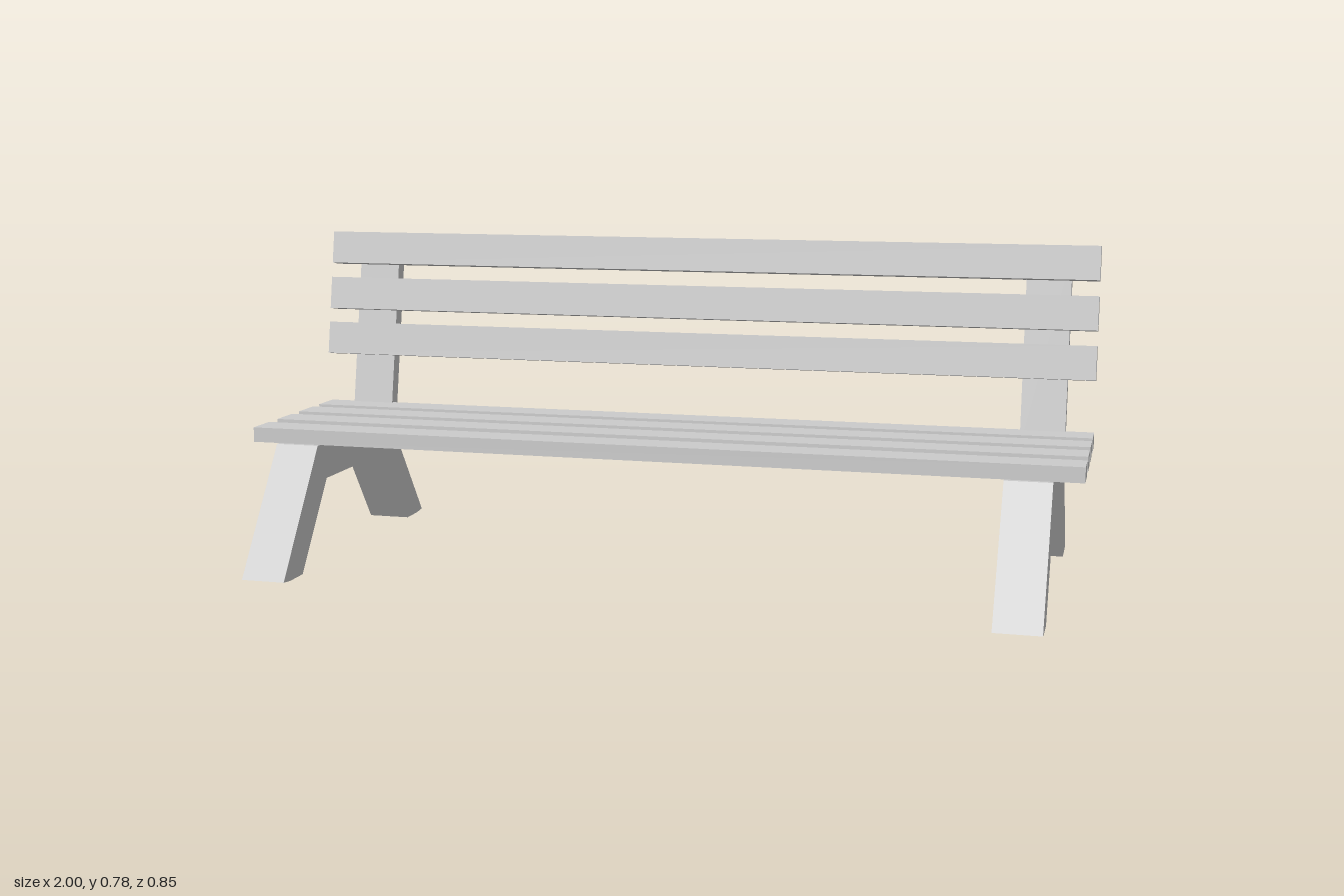
import * as THREE from 'three';

const material = new THREE.MeshStandardMaterial({ color: 0xcccccc, flatShading: true });

// Side outline of one end frame as (z, y): front leg, seat rail, back post, rear leg
const OUTLINE = [
  [0.39, 0], [0.425, 0.004], [0.221, 0.295], [-0.222, 0.295], [-0.228, 0.283],
  [-0.317, 0.763], [-0.351, 0.757], [-0.256, 0.243], [-0.425, 0.004], [-0.39, 0],
  [-0.324, 0], [-0.176, 0.207], [0.176, 0.207], [0.324, 0],
];
const FRAME_X = 0.878;
const FRAME_WIDTH = 0.108;
const BACK_TILT = -0.174;

function slat(name, height, depth, y, z, tilt = 0) {
  const mesh = new THREE.Mesh(new THREE.BoxGeometry(2, height, depth), material);
  mesh.name = name;
  mesh.position.set(0, y, z);
  mesh.rotation.x = tilt;
  return mesh;
}

export function createModel() {
  const bench = new THREE.Group();
  bench.name = 'bench';

  // End frames, extruded across x
  const shape = new THREE.Shape(OUTLINE.map(([z, y]) => new THREE.Vector2(z, y)));
  const frameGeometry = new THREE.ExtrudeGeometry(shape, { depth: FRAME_WIDTH, bevelEnabled: false });
  frameGeometry.translate(0, 0, -FRAME_WIDTH / 2);
  frameGeometry.rotateY(-Math.PI / 2);
  for (const [name, side] of [['leftFrame', 1], ['rightFrame', -1]]) {
    const frame = new THREE.Mesh(frameGeometry, material);
    frame.name = name;
    frame.position.x = side * FRAME_X;
    bench.add(frame);
  }

  // Flat seat slats, front to back
  [0.167, 0.039, -0.084, -0.204].forEach((z, i) =>
    bench.add(slat(`seatSlat${i + 1}`, 0.036, 0.083, 0.313, z)));

  // Leaning back slats, bottom to top
  [[0.498, -0.2545], [0.616, -0.275], [0.7355, -0.296]].forEach(([y, z], i) =>
    bench.add(slat(`backSlat${i + 1}`, 0.083, 0.036, y, z, BACK_TILT)));

  return bench;
}
